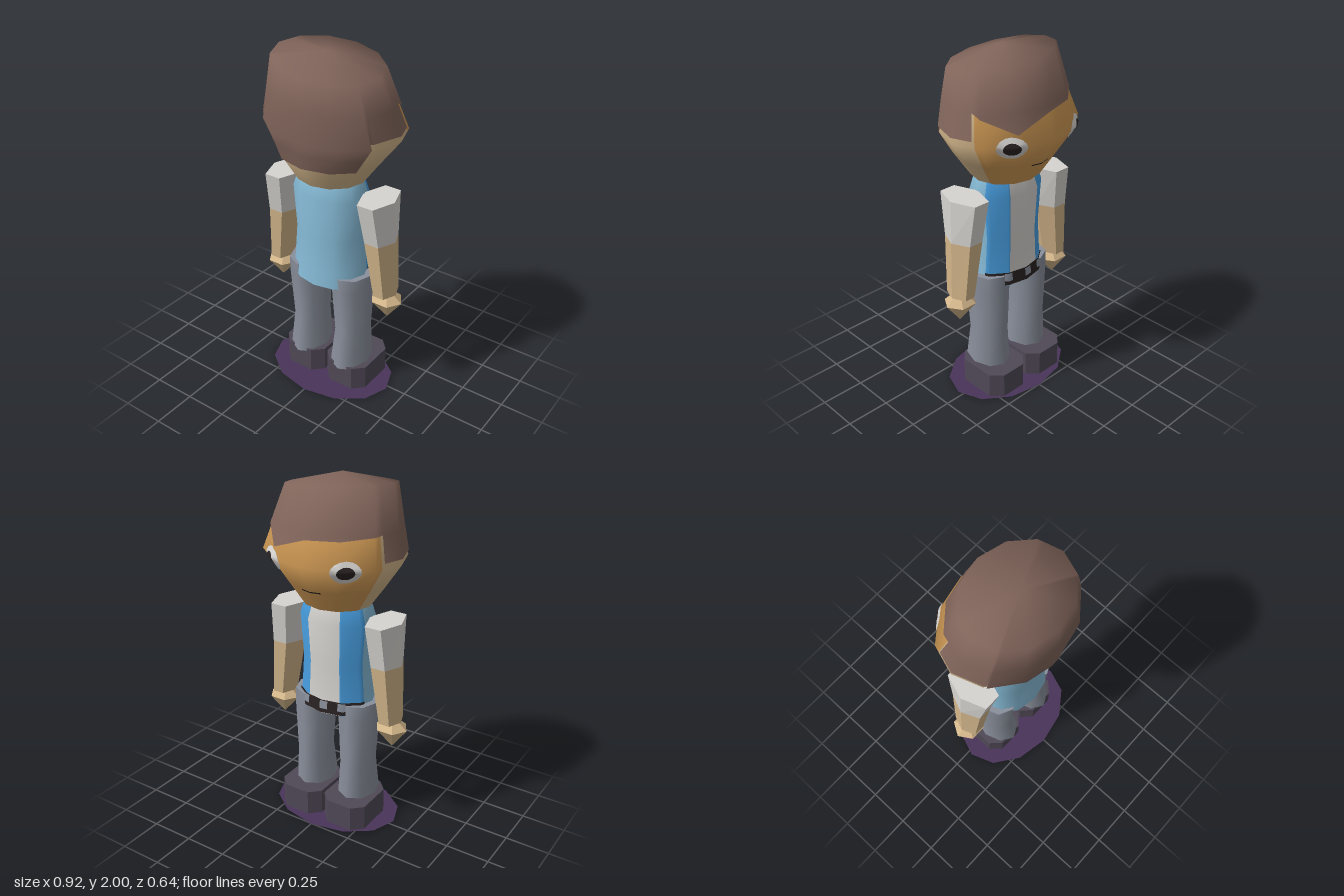
import * as THREE from 'three';
import { mergeVertices } from 'three/addons/utils/BufferGeometryUtils.js';

const mat = (name, color, side = THREE.FrontSide) => {
  const m = new THREE.MeshStandardMaterial({ color, side });
  m.name = name;
  return m;
};

// Surface of an upright form. Each section is [y, halfWidth, zMin, zMax, centreX].
// Angle 0 points to +z and 90 to +x; the outline is a polygon with the given sides.
function surface(sections, sides, phase = 0) {
  const step = 360 / sides;
  return (angle, y, off = 0) => {
    let i = 0;
    while (i < sections.length - 2 && y > sections[i + 1][0]) i++;
    const lo = sections[i], hi = sections[i + 1];
    const t = THREE.MathUtils.clamp((y - lo[0]) / (hi[0] - lo[0]), 0, 1);
    const [, rx, z0, z1, cx = 0] = lo.map((v, k) => THREE.MathUtils.lerp(v, hi[k], t));
    const corner = (n) => {
      const a = THREE.MathUtils.degToRad(n * step + phase);
      return new THREE.Vector3(cx + (rx + off) * Math.sin(a), y,
        (z0 + z1) / 2 + ((z1 - z0) / 2 + off) * Math.cos(a));
    };
    const s = (angle - phase) / step, n = Math.floor(s + 1e-6);
    return corner(n).lerp(corner(n + 1), Math.max(0, s - n));
  };
}

// Skin over rows of points; groups run column by column when materials are listed.
function grid(rows, flat = false, columnMaterial = null) {
  const cols = rows[0].length, index = [];
  let geo = new THREE.BufferGeometry().setFromPoints(rows.flat());
  for (let c = 0; c < cols - 1; c++) {
    const start = index.length;
    for (let r = 0; r < rows.length - 1; r++) {
      const a = r * cols + c, b = a + cols;
      index.push(a, a + 1, b + 1, a, b + 1, b);
    }
    if (columnMaterial) geo.addGroup(start, index.length - start, columnMaterial(c));
  }
  geo.setIndex(index);
  geo = flat ? geo.toNonIndexed() : mergeVertices(geo, 1e-5);
  geo.computeVertexNormals();
  return geo;
}

const ring = (at, y, angles, off = 0) => angles.map((a) => at(a, y, off));
const wall = (at, ys, angles, off, flat, pick) => grid(ys.map((y) => ring(at, y, angles, off)), flat, pick);
const around = (sides, phase = 0) => Array.from({ length: sides + 1 }, (_, i) => phase + (i * 360) / sides);

// Flat lid over one section
function cap(at, y, angles, up) {
  const edge = ring(at, y, up ? angles : [...angles].reverse());
  const mid = at(0, y).add(at(180, y)).multiplyScalar(0.5);
  return grid([edge, edge.map(() => mid.clone())], true);
}

export function createModel() {
  const model = new THREE.Group();
  model.name = 'figure';
  const hair = mat('hair brown', 0x80645a), skin = mat('skin tan', 0xd2b58a);
  const face = mat('face orange', 0xd09a55), pale = mat('shirt light blue', 0x87bcd8);
  const blue = mat('stripe blue', 0x489ee0), white = mat('off white', 0xd6d4d0);
  const grey = mat('trouser grey', 0x8a909c), shoe = mat('shoe charcoal', 0x504957);
  const black = mat('near black', 0x2a2222), purple = mat('base purple', 0x493458, THREE.DoubleSide);
  const add = (name, geo, material, parent = model) => {
    const m = new THREE.Mesh(geo, material);
    m.name = name;
    parent.add(m);
    return m;
  };

  // Head, with the face on the -z side
  const head = surface([
    [1.31, 0.20, -0.155, 0.215], [1.44, 0.295, -0.235, 0.285],
    [1.59, 0.405, -0.322, 0.312], [1.92, 0.305, -0.185, 0.3],
  ], 12);
  const headAngles = [...around(12), 113, 247].sort((a, b) => a - b);
  const isFace = (c) => (headAngles[c] >= 113 && headAngles[c] < 247 ? 1 : 0);
  add('head', wall(head, [1.31, 1.44, 1.59, 1.8], headAngles, 0, false, isFace), [skin, face]);
  add('jawUnderside', cap(head, 1.31, around(12), false), skin);

  // Hair: [angle, hem height], stepping at the temples, with an uneven fringe
  const hem = [
    [0, 1.44], [30, 1.44], [57, 1.44], [57, 1.62], [60, 1.62], [90, 1.62], [111, 1.62],
    [111, 1.75], [120, 1.725], [150, 1.65], [180, 1.72], [210, 1.73], [240, 1.745], [249, 1.75],
    [249, 1.62], [270, 1.62], [300, 1.62], [303, 1.62], [303, 1.44], [330, 1.44], [360, 1.44],
  ];
  const hairRows = [1.44, 1.52, 1.59, 1.75].map((y) => hem.map(([a, h]) => head(a, Math.max(h, y), 0.01)));
  hairRows.push(hem.map(([a]) => {
    const p = head(a, 1.92, 0.006);
    p.y = 1.945 - 0.1 * p.x - 0.1 * (p.z - 0.08);
    return p;
  }));
  hairRows.push(hem.map(() => new THREE.Vector3(0, 2, 0.07)));
  add('hair', grid(hairRows), hair);

  // Eyes and mouth follow the head surface
  const disc = (angle, y, da, dy, off) => grid([1, 0.66, 0.33, 0].map((r) =>
    around(16).map((t) => {
      const k = THREE.MathUtils.degToRad(t);
      return head(angle + r * da * Math.cos(k), y + r * dy * Math.sin(k), off);
    })));
  for (const [side, angle] of [['left', 144], ['right', 216]]) {
    add(side + 'EyeWhite', disc(angle, 1.58, 13, 0.062, 0.006), white);
    add(side + 'Pupil', disc(angle, 1.58, 7.5, 0.036, 0.01), black);
  }
  add('mouth', wall(head, [1.428, 1.436], [168, 180, 192], 0.005), black);

  // Shirt with stripes on the -z side
  const torso = surface([
    [0.685, 0.232, -0.135, 0.203], [0.78, 0.222, -0.125, 0.195], [0.97, 0.208, -0.12, 0.185],
    [1.22, 0.226, -0.13, 0.195], [1.32, 0.195, -0.1, 0.165],
  ], 12);
  const torsoAngles = [...around(12), 110, 153, 207, 250].sort((a, b) => a - b);
  const stripe = (c) => {
    const d = Math.abs((torsoAngles[c] + torsoAngles[c + 1]) / 2 - 180);
    return d < 27 ? 2 : d < 70 ? 1 : 0;
  };
  add('shirt', wall(torso, [0.685, 0.78, 0.97, 1.22, 1.32], torsoAngles, 0, false, stripe), [pale, blue, white]);
  add('shirtUnderside', cap(torso, 0.685, around(12), false), pale);
  add('shirtTop', cap(torso, 1.32, around(12), true), pale);

  // Belt with loops
  add('belt', wall(torso, [0.69, 0.765], [110, 120, 150, 180, 210, 240, 250], 0.006), black);
  for (const a of [150, 183, 210]) add('beltLoop', wall(torso, [0.715, 0.762], [a - 6, a, a + 6], 0.011), grey);

  for (const s of [1, -1]) {
    const limb = new THREE.Group();
    limb.name = s > 0 ? 'leftLimbs' : 'rightLimbs';
    model.add(limb);
    const sided = (sections) => sections.map(([y, r, z0, z1, x]) => [y, r, z0, z1, s * x]);

    // Trouser leg
    const leg = surface(sided([
      [0.135, 0.112, -0.108, 0.175, 0.145], [0.36, 0.097, -0.098, 0.14, 0.147],
      [0.66, 0.112, -0.108, 0.165, 0.147], [0.75, 0.114, -0.105, 0.168, 0.146],
    ]), 8);
    add('trouserLeg', wall(leg, [0.135, 0.36, 0.66, 0.75], around(8)), grey, limb);
    add('trouserTop', cap(leg, 0.75, around(8), true), grey, limb);

    // Shoe: a block with cut corners
    const w = 0.137, f = 0.185, b = -0.15, c = 0.06;
    const outline = new THREE.Shape([
      [-w + c, b], [w - c, b], [w, b + c], [w, f - c], [w - c, f], [-w + c, f], [-w, f - c], [-w, b + c],
    ].map(([x, y]) => new THREE.Vector2(x + s * 0.147, y)));
    const block = new THREE.ExtrudeGeometry(outline, { depth: 0.153, bevelEnabled: false });
    add('shoe', block.rotateX(-Math.PI / 2), shoe, limb);

    // Arm: sleeve, forearm and pointed hand, all six-sided
    const arm = surface(sided([
      [0.68, 0.064, -0.073, 0.107, 0.358], [1.015, 0.087, -0.095, 0.138, 0.322],
      [1.255, 0.096, -0.13, 0.185, 0.303],
    ]), 6, 30);
    const six = around(6, 30);
    add('sleeve', wall(arm, [1.015, 1.255], six, 0, true), white, limb);
    add('sleeveTop', cap(arm, 1.255, six, true), white, limb);
    add('forearm', wall(arm, [0.68, 1.015], six, 0, true), skin, limb);
    add('forearmEnd', cap(arm, 0.68, six, false), skin, limb);
    const hand = surface(sided([
      [0.52, 0.002, 0.013, 0.017, 0.37], [0.635, 0.094, -0.072, 0.104, 0.364],
      [0.69, 0.03, -0.01, 0.045, 0.362],
    ]), 6, 30);
    add('hand', wall(hand, [0.52, 0.635, 0.69], six, 0, true), skin, limb);
  }

  // Thin base under the shoes
  const base = new THREE.CircleGeometry(1, 12).rotateX(-Math.PI / 2).scale(0.39, 1, 0.285);
  add('base', base.translate(0, 0.004, 0.028), purple);
  return model;
}
